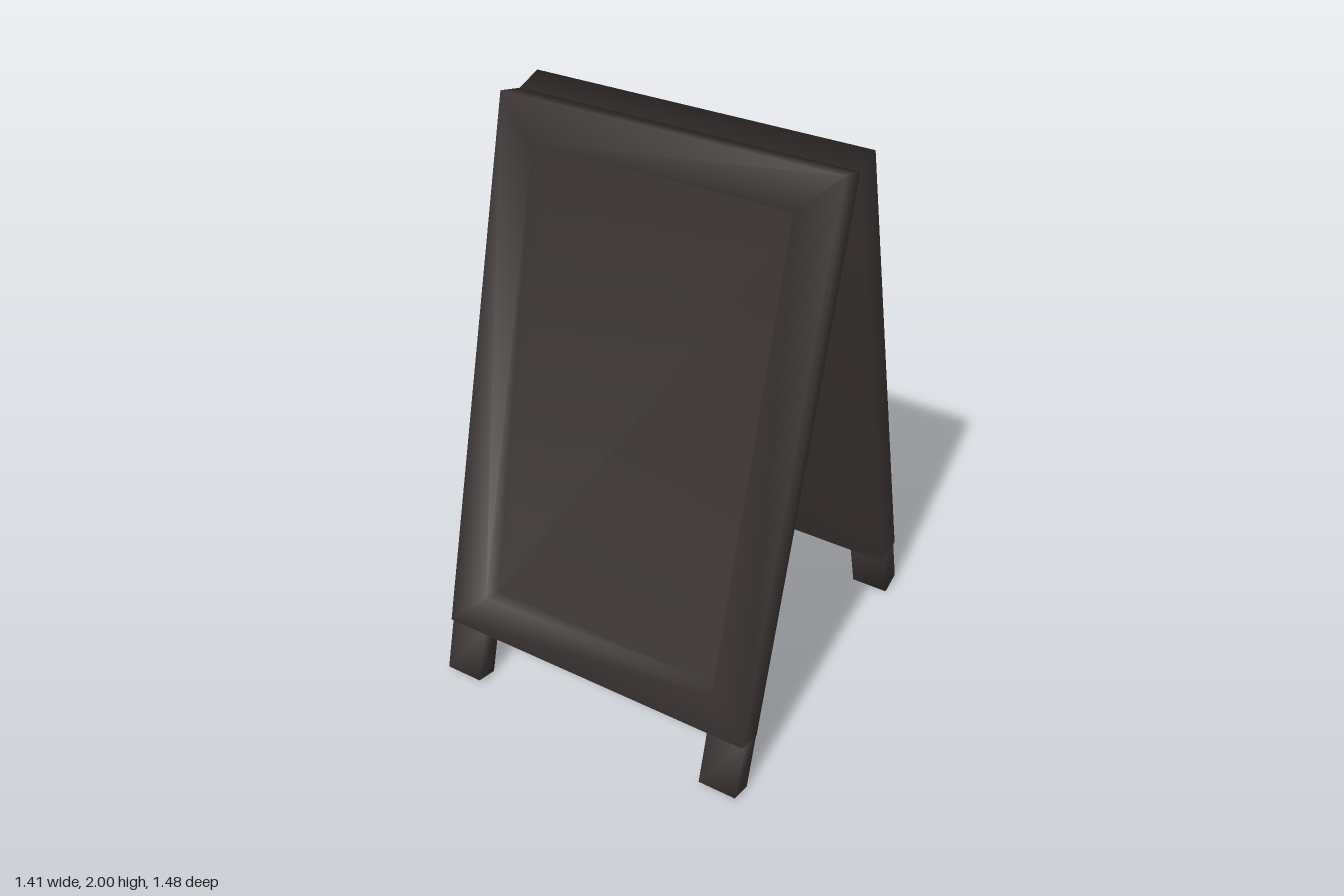
import * as THREE from 'three';
import { mergeVertices } from 'three/addons/utils/BufferGeometryUtils.js';

const darkWood = new THREE.MeshStandardMaterial({ color: 0x383131 });
darkWood.name = 'darkWood';

const YAW = 0.22;        // turn of the whole sign
const LEAN = 0.2695;     // lean of each board
const HALF = 0.58;       // half width of a board
const LENGTH = 1.852;    // board length along its slope
const THICK = 0.1;
const BORDER = 0.135;    // frame width
const RECESS = 0.08;     // depth of the sunken panel

// Smooth-shaded solid from rectangular rings [inset, z], capped at both ends
function ringSolid(rings, halfW, length) {
  const pos = [], index = [];
  for (const [inset, z] of rings) {
    const w = halfW - inset, top = -inset, bottom = -length + inset;
    pos.push(-w, bottom, z, w, bottom, z, w, top, z, -w, top, z);
  }
  for (let i = 0; i < rings.length - 1; i++) {
    for (let j = 0; j < 4; j++) {
      const a = i * 4 + j, b = i * 4 + (j + 1) % 4;
      index.push(a, b, b + 4, a, b + 4, a + 4);
    }
  }
  const e = (rings.length - 1) * 4;
  index.push(0, 2, 1, 0, 3, 2, e, e + 1, e + 2, e, e + 2, e + 3);
  const geo = new THREE.BufferGeometry();
  geo.setAttribute('position', new THREE.Float32BufferAttribute(pos, 3));
  geo.setIndex(index);
  geo.computeVertexNormals();
  return geo;
}

// Box with normals shared around its corners
function softBox(w, h, d) {
  const box = new THREE.BoxGeometry(w, h, d);
  box.deleteAttribute('normal');
  box.deleteAttribute('uv');
  const geo = mergeVertices(box);
  geo.computeVertexNormals();
  return geo;
}

function makeBoard(name) {
  const board = new THREE.Group();
  board.name = name;

  // Hinged at its top back edge and leaning outward
  const leaning = new THREE.Group();
  leaning.name = name + 'Lean';
  leaning.position.y = 1.975;
  leaning.rotation.x = -LEAN;
  board.add(leaning);

  // Frame with sunken writing panel
  const frame = new THREE.Mesh(ringSolid(
    [[0, 0], [0, THICK], [BORDER, THICK], [BORDER, THICK - RECESS]], HALF, LENGTH), darkWood);
  frame.name = 'framedPanel';
  leaning.add(frame);

  // Feet below both bottom corners
  const footTop = LENGTH - 0.01, footEnd = 2.049;
  for (const side of [-1, 1]) {
    const foot = new THREE.Mesh(softBox(0.135, footEnd - footTop, 0.084), darkWood);
    foot.name = side > 0 ? 'leftFoot' : 'rightFoot';
    foot.position.set(side * (HALF - 0.0675), -(footTop + footEnd) / 2, 0.046);
    leaning.add(foot);
  }
  return board;
}

export function createModel() {
  const model = new THREE.Group();
  model.name = 'sandwichBoard';
  const front = makeBoard('frontBoard');
  const back = makeBoard('backBoard');
  back.rotation.y = Math.PI;
  model.add(front, back);
  model.rotation.y = YAW;

  const root = new THREE.Group();
  root.name = 'sidewalkSign';
  root.add(model);
  return root;
}
